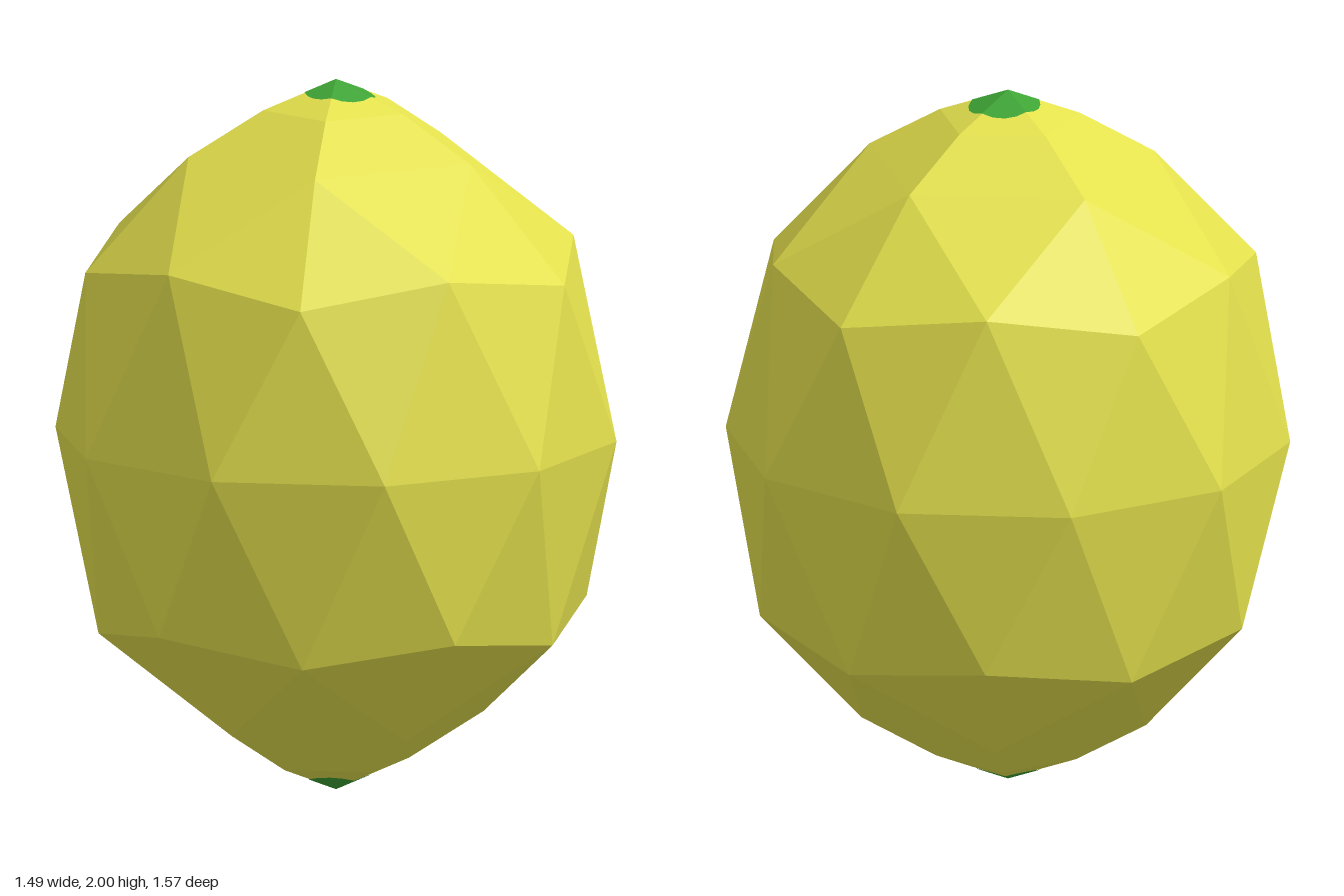
import * as THREE from 'three';

const skin = new THREE.MeshStandardMaterial({ color: 0xe4e14d, flatShading: true });
skin.name = 'yellowSkin';
const green = new THREE.MeshStandardMaterial({ color: 0x3ea435, flatShading: true });
green.name = 'greenTip';

// Point at radius r, height y and angle in degrees (0 = +x, 90 = +z)
const polar = (r, y, deg) => {
  const a = THREE.MathUtils.degToRad(deg);
  return [r * Math.cos(a), y, r * Math.sin(a)];
};

function meshFrom(triangles, material, name) {
  const geometry = new THREE.BufferGeometry();
  geometry.setAttribute('position', new THREE.Float32BufferAttribute(triangles.flat(2), 3));
  geometry.computeVertexNormals();
  const mesh = new THREE.Mesh(geometry, material);
  mesh.name = name;
  return mesh;
}

const TIP_R = 0.205, TIP_DROP = 0.08;

// Upper half of a faceted, five-fold body; heights are measured from the equator
function skinHalf() {
  const tris = [];
  const pole = [0, 1, 0];
  const tip = a => polar(TIP_R, 1 - TIP_DROP, a);
  const shoulder = a => polar(0.415, 0.795, a);
  const corner = a => polar(0.705, 0.478, a);
  const between = a => polar(0.668, 0.54, a);
  const equator = a => polar(0.785, 0, a);
  for (let k = 0; k < 5; k++) {
    const a = k * 72, m = a + 36, b = a + 72;
    tris.push(
      // pointed end and its collar
      [pole, tip(b), tip(a)],
      [tip(a), tip(b), shoulder(b)], [tip(a), shoulder(b), shoulder(a)],
      // shoulder
      [shoulder(a), shoulder(b), between(m)],
      [shoulder(a), between(m), corner(a)],
      [shoulder(b), corner(b), between(m)],
      // band down to the equator
      [corner(a), between(m), equator(a + 18)],
      [between(m), corner(b), equator(a + 54)],
      [between(m), equator(a + 54), equator(a + 18)],
      [corner(a), equator(a + 18), equator(a - 18)],
    );
  }
  return meshFrom(tris, skin, 'skinHalf');
}

// Thin green patch following the five facets of the pointed end
function tipPatch() {
  const apothem = TIP_R * Math.cos(Math.PI / 5);
  const lift = 0.002;
  const rim = deg => {
    const t = THREE.MathUtils.degToRad(deg);
    const r = 0.1 + 0.01 * Math.cos(t) + 0.005 * Math.sin(t);
    const offAxis = THREE.MathUtils.degToRad((deg % 72) - 36);
    return polar(r, 1 + lift - TIP_DROP * r * Math.cos(offAxis) / apothem, deg);
  };
  const tris = [];
  for (let a = 0; a < 360; a += 18) tris.push([[0, 1 + lift, 0], rim(a + 18), rim(a)]);
  return meshFrom(tris, green, 'greenTip');
}

export function createModel() {
  const model = new THREE.Group();
  model.name = 'lemon';
  // The lower half is the upper one turned over about the z axis
  ['upperHalf', 'lowerHalf'].forEach((name, i) => {
    const half = new THREE.Group();
    half.name = name;
    half.add(skinHalf(), tipPatch());
    half.position.y = 1;
    half.rotation.z = i * Math.PI;
    model.add(half);
  });
  return model;
}
